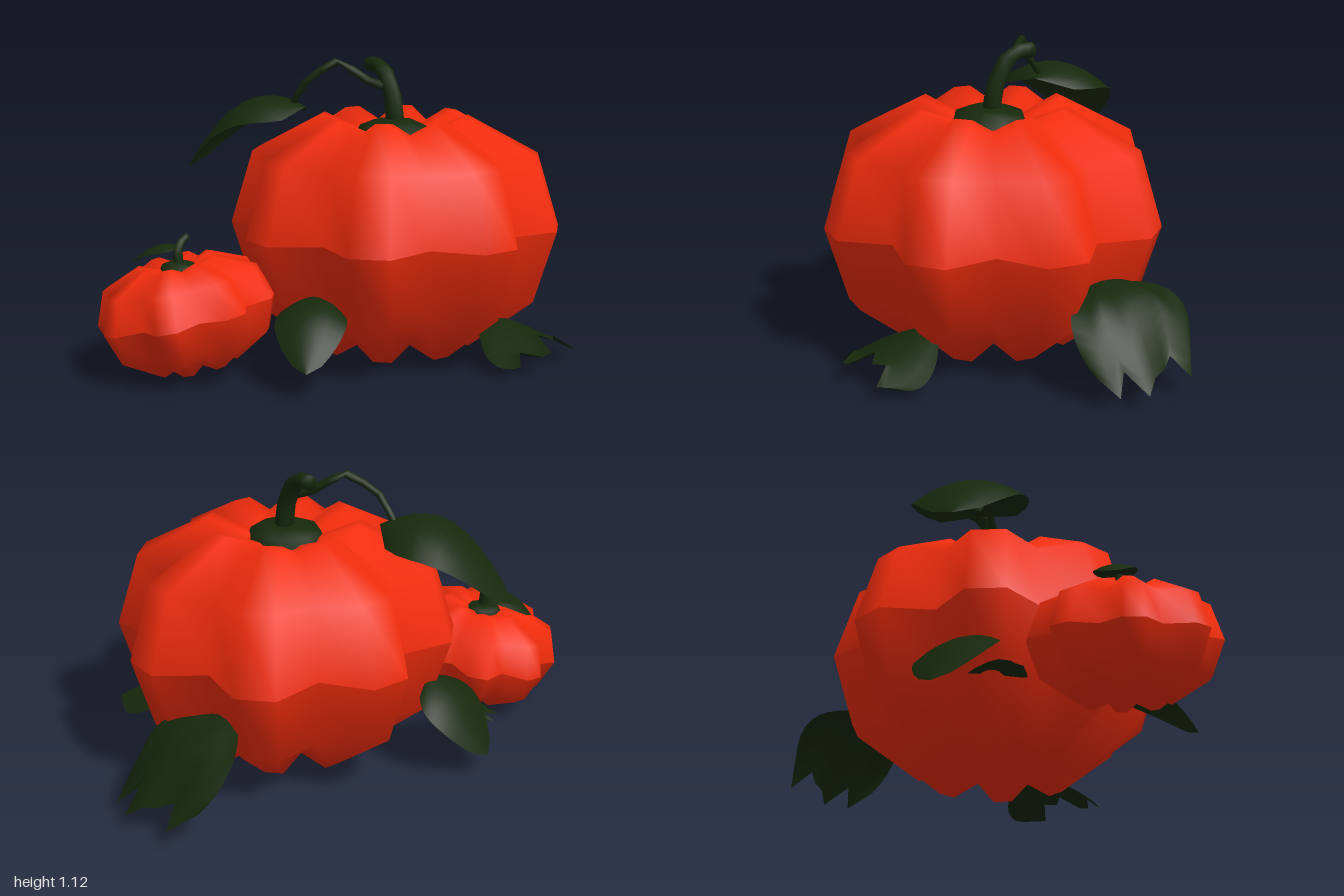
import * as THREE from 'three';

const red = new THREE.MeshStandardMaterial({ color: 0xf02c0c });
const green = new THREE.MeshStandardMaterial({ color: 0x17280c });
const leafGreen = new THREE.MeshStandardMaterial({ color: 0x17280c, side: THREE.DoubleSide });
const V = (p) => new THREE.Vector3(...p);

function mesh(name, geometry, material) {
  const m = new THREE.Mesh(geometry, material);
  m.name = name;
  return m;
}

// Indexed grid of quads; wrap joins the last column to the first
function grid(rows, cols, point, wrap) {
  const pos = [], idx = [];
  for (let i = 0; i < rows; i++) for (let j = 0; j < cols; j++) pos.push(...point(i, j));
  for (let i = 0; i < rows - 1; i++) {
    for (let j = 0; j < (wrap ? cols : cols - 1); j++) {
      const k = (j + 1) % cols;
      const a = i * cols + j, b = a + cols, c = (i + 1) * cols + k, d = i * cols + k;
      idx.push(a, b, c, a, c, d);
    }
  }
  const g = new THREE.BufferGeometry();
  g.setAttribute('position', new THREE.Float32BufferAttribute(pos, 3));
  g.setIndex(idx);
  g.computeVertexNormals();
  return g;
}

// Radius and height from top to bottom, on a rib and in a groove
const rib = [[0, 0.82], [0.13, 0.845], [0.28, 0.905], [0.55, 0.76], [0.635, 0.48], [0.55, 0.2], [0.3, 0.005], [0.1, 0.08], [0, 0.12]];
const groove = [[0, 0.82], [0.12, 0.825], [0.25, 0.855], [0.46, 0.74], [0.505, 0.48], [0.46, 0.21], [0.24, 0.055], [0.08, 0.1], [0, 0.12]];
const LOBES = 8, EQUATOR = 4;

// Eight-lobed body in two smooth halves that meet in a crease at the equator
function pumpkinBody(name) {
  const body = new THREE.Group();
  body.name = name;
  const half = (halfName, start) => {
    const point = (i, j) => {
      const lobe = Math.floor(j / 3), part = j % 3;
      const offset = [-0.118, 0.118, Math.PI / LOBES][part];
      const a = (lobe * 2 * Math.PI) / LOBES + offset;
      const [r, y] = (part === 2 ? groove : rib)[start + i];
      return [r * Math.sin(a), y, r * Math.cos(a)];
    };
    body.add(mesh(halfName, grid(5, LOBES * 3, point, true), red));
  };
  half('upperShell', 0);
  half('lowerShell', EQUATOR);
  return body;
}

// Tapering tube with slightly angular bends and closed ends
function stalk(name, points, r0, r1, sides) {
  const curve = new THREE.CatmullRomCurve3(points.map(V), false, 'catmullrom', 0.25);
  const n = 8, frames = curve.computeFrenetFrames(n);
  const point = (i, j) => {
    const t = Math.min(Math.max(i - 1, 0), n);
    const r = i === 0 || i === n + 2 ? 0 : r0 + ((r1 - r0) * t) / n;
    const a = (-j / sides) * Math.PI * 2;
    return curve.getPoint(t / n)
      .addScaledVector(frames.normals[t], r * Math.cos(a))
      .addScaledVector(frames.binormals[t], r * Math.sin(a)).toArray();
  };
  return mesh(name, grid(n + 3, sides, point, true), green);
}

// Arched leaf from base to tip; fold drops its edges, curl lifts its end,
// jag gives torn lengths across the width
function leaf(name, base, tip, { halfWidth, arch, fold, curl = 0, jag }) {
  const from = V(base), dir = V(tip).sub(from), up = V([0, 1, 0]);
  const side = dir.clone().cross(up).normalize();
  const rows = 11, cols = 9;
  const point = (i, j) => {
    const u = i / (rows - 1), v = (j / (cols - 1)) * 2 - 1;
    const w = jag
      ? Math.sin(Math.PI * (0.1 + 0.58 * u))
      : Math.pow(Math.max(0, Math.sin(Math.PI * Math.pow(u, 0.75))), 0.65);
    const len = jag ? jag[j] : 1;
    const lift = arch * Math.sin(Math.PI * u) - fold * v * v * w + curl * u ** 4;
    return from.clone()
      .addScaledVector(dir, u * len)
      .addScaledVector(side, v * w * halfWidth)
      .addScaledVector(up, lift).toArray();
  };
  return mesh(name, grid(rows, cols, point, false), leafGreen);
}

// Low eight-sided dome under a stem
function cap(name, radius, height, position) {
  const profile = [[1, 0], [0.9, 0.55], [0.55, 0.9], [0, 1]].map(([r, y]) => new THREE.Vector2(r * radius, y * height));
  const m = mesh(name, new THREE.LatheGeometry(profile, 8), green);
  m.position.set(...position);
  return m;
}

export function createModel() {
  const model = new THREE.Group();
  model.name = 'pumpkins';

  // Large pumpkin with stem and vine
  const large = pumpkinBody('largePumpkin');
  large.position.set(0.003, 0, -0.16);
  model.add(large);
  model.add(cap('largeCap', 0.145, 0.06, [0.01, 0.83, -0.15]));
  model.add(stalk('largeStem', [[0.01, 0.85, -0.16], [-0.01, 0.97, -0.16], [-0.06, 1.06, -0.16], [-0.11, 1.085, -0.16], [-0.16, 1.085, -0.16]], 0.036, 0.028, 8));
  model.add(stalk('vine', [[-0.04, 1.01, -0.14], [-0.09, 1.03, -0.1], [-0.18, 1.1, -0.02], [-0.25, 1.02, 0.08], [-0.33, 0.91, 0.1]], 0.018, 0.012, 6));

  // Small tilted pumpkin in front
  const small = pumpkinBody('smallPumpkin');
  small.scale.set(0.522, 0.44, 0.522);
  small.rotation.set(0.13, 0.08, 0.12);
  small.position.set(-0.135, 0.021, 0.645);
  model.add(small);
  model.add(cap('smallCap', 0.07, 0.03, [-0.18, 0.38, 0.69]));
  model.add(stalk('smallStem', [[-0.18, 0.38, 0.69], [-0.185, 0.45, 0.69], [-0.19, 0.48, 0.67], [-0.185, 0.5, 0.645]], 0.022, 0.013, 6));
  model.add(leaf('smallPumpkinLeaf', [-0.19, 0.46, 0.68], [-0.345, 0.385, 0.8], { halfWidth: 0.075, arch: 0.035, fold: 0.02 }));

  // Whole leaves
  model.add(leaf('vineLeaf', [-0.28, 0.92, 0.06], [-0.67, 0.66, 0.37], { halfWidth: 0.215, arch: 0.145, fold: 0.085 }));
  model.add(leaf('rightFrontLeaf', [-0.42, 0.33, 0.19], [-0.67, 0.07, 0.28], { halfWidth: 0.16, arch: 0.06, fold: 0.05 }));
  model.add(leaf('leftFrontLeaf', [0.14, 0.29, 0.31], [0.385, 0.09, 0.51], { halfWidth: 0.13, arch: 0.065, fold: 0.05 }));

  // Torn leaves
  model.add(leaf('backLeaf', [-0.25, 0.33, -0.6], [-0.25, 0.06, -0.98], {
    halfWidth: 0.23, arch: 0.08, fold: 0.05, curl: 0.01,
    jag: [0.65, 0.92, 0.74, 0.86, 0.92, 1.05, 0.8, 0.98, 0.72],
  }));
  model.add(leaf('leftBackLeaf', [0.34, 0.15, -0.36], [0.65, 0.02, -0.43], {
    halfWidth: 0.2, arch: 0.02, fold: 0.07, curl: 0.06,
    jag: [0.8, 0.97, 0.75, 0.85, 0.72, 1, 0.98, 0.75, 0.85],
  }));
  model.add(leaf('rightLowLeaf', [-0.36, 0.21, 0.22], [-0.51, 0.1, 0.47], {
    halfWidth: 0.1, arch: 0.015, fold: 0.04, curl: 0.03,
    jag: [0.7, 0.95, 0.8, 0.9, 0.85, 1, 0.8, 0.92, 0.65],
  }));
  return model;
}
